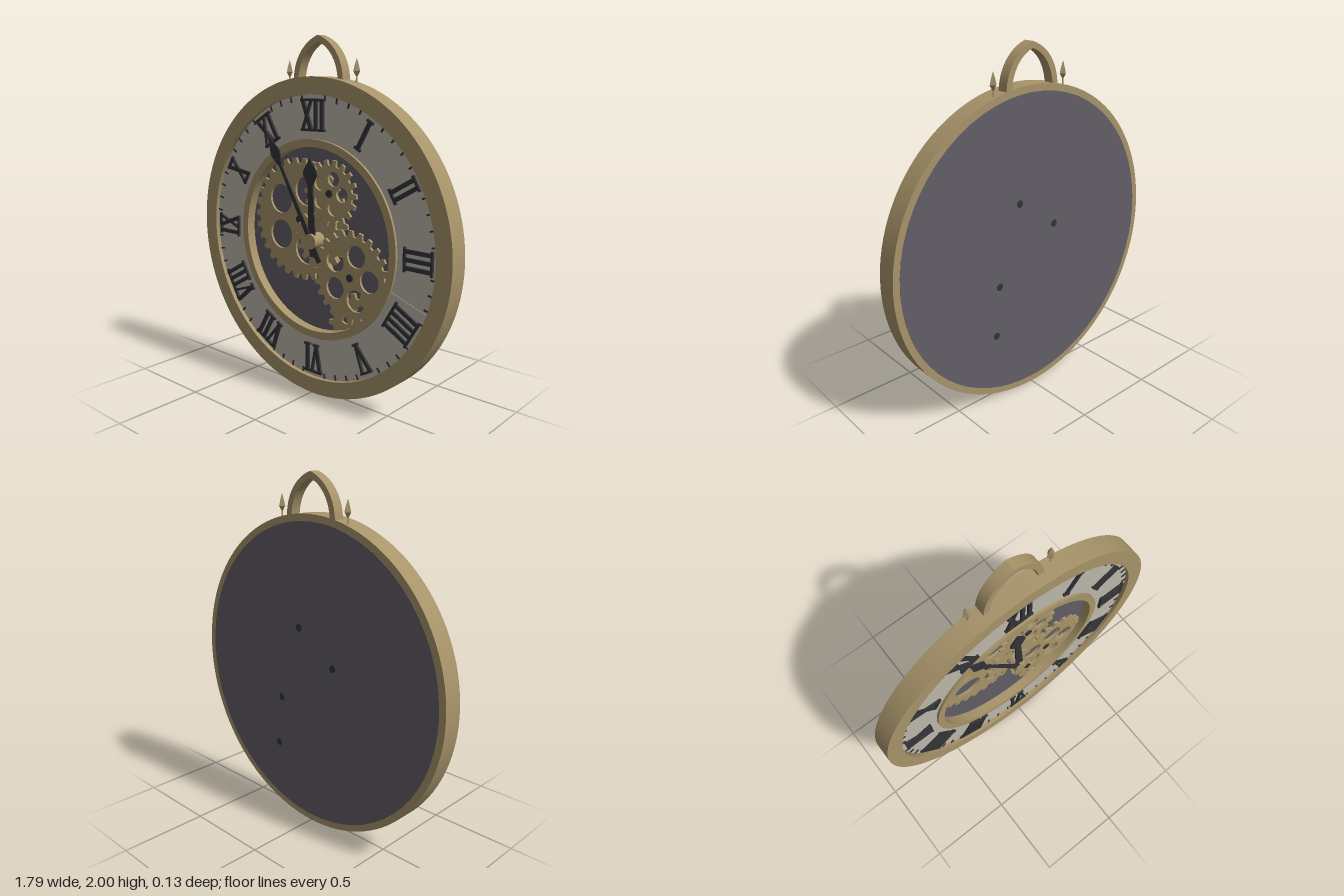
import * as THREE from 'three';
import { mergeGeometries, toCreasedNormals } from 'three/addons/utils/BufferGeometryUtils.js';

const material = (color) => new THREE.MeshStandardMaterial({ color });
const gold = material(0xa8946a);
const ivory = material(0xbdb9ac);
const slate = material(0x625e66);
const dark = material(0x343438);

const polar = (r, a) => new THREE.Vector2(r * Math.cos(a), r * Math.sin(a));
const rad = THREE.MathUtils.degToRad;

function add(parent, name, geometry, mat, x = 0, y = 0, z = 0) {
  const mesh = new THREE.Mesh(geometry, mat);
  mesh.name = name;
  mesh.position.set(x, y, z);
  parent.add(mesh);
  return mesh;
}

// Flat outline extruded from z0 to z1
function slab(shape, z0, z1, curveSegments = 12) {
  const g = new THREE.ExtrudeGeometry(shape, { depth: z1 - z0, bevelEnabled: false, curveSegments });
  g.translate(0, 0, z0);
  return toCreasedNormals(g, 0.5);
}

function circleHole(x, y, r) {
  return new THREE.Path().absarc(x, y, r, 0, Math.PI * 2, true);
}

function ring(outer, inner, z0, z1) {
  const shape = new THREE.Shape().absarc(0, 0, outer, 0, Math.PI * 2, false);
  shape.holes.push(circleHole(0, 0, inner));
  return slab(shape, z0, z1, 64);
}

// Cylinder along z
function disc(r, z0, z1, sides = 16) {
  return new THREE.CylinderGeometry(r, r, z1 - z0, sides).rotateX(Math.PI / 2).translate(0, 0, (z0 + z1) / 2);
}

// Toothed wheel with five round openings
function gear(radius, teeth, holeOrbit, holeRadius, z0, z1) {
  const root = radius - 0.032;
  const pitch = (Math.PI * 2) / teeth;
  const points = [];
  for (let i = 0; i < teeth; i++) {
    for (const [r, t] of [[root, -0.32], [radius, -0.18], [radius, 0.18], [root, 0.32]]) {
      points.push(polar(r, (i + t) * pitch));
    }
  }
  const shape = new THREE.Shape(points);
  for (let i = 0; i < 5 && holeRadius; i++) {
    const p = polar(holeOrbit, (i * Math.PI * 2) / 5);
    shape.holes.push(circleHole(p.x, p.y, holeRadius));
  }
  return slab(shape, z0, z1, 10);
}

// Straight pen stroke between two points
function stroke(x1, y1, x2, y2, width) {
  return new THREE.BoxGeometry(Math.hypot(x2 - x1, y2 - y1), width, 0.016)
    .rotateZ(Math.atan2(y2 - y1, x2 - x1))
    .translate((x1 + x2) / 2, (y1 + y2) / 2, 0);
}

// Roman numeral made of strokes with serifs
function numeral(text) {
  const h = 0.08;
  const advance = { I: 0.043, V: 0.085, X: 0.085 };
  const total = [...text].reduce((sum, c) => sum + advance[c], 0);
  const parts = [];
  let x = -total / 2;
  for (const c of text) {
    const w = advance[c], m = x + w / 2, d = w * 0.36;
    parts.push(stroke(x, h, x + w, h, 0.013));
    if (c === 'V') {
      parts.push(stroke(m - d, h, m, -h, 0.022), stroke(m + d, h, m, -h, 0.014));
      parts.push(stroke(m - 0.022, -h, m + 0.022, -h, 0.013));
    } else {
      parts.push(stroke(x, -h, x + w, -h, 0.013));
      if (c === 'I') parts.push(stroke(m, h, m, -h, 0.021));
      else parts.push(stroke(m - d, h, m + d, -h, 0.022), stroke(m + d, h, m - d, -h, 0.014));
    }
    x += w;
  }
  return mergeGeometries(parts);
}

// Symmetric hand outline from [halfWidth, y] pairs
function hand(profile, z0, z1) {
  const right = profile.map(([x, y]) => new THREE.Vector2(x, y));
  const left = profile.filter(([x]) => x > 0).map(([x, y]) => new THREE.Vector2(-x, y)).reverse();
  return slab(new THREE.Shape([...right, ...left]), z0, z1);
}

export function createModel() {
  const model = new THREE.Group();
  model.name = 'pocketClock';
  const clock = new THREE.Group();
  clock.name = 'clock';
  clock.position.y = 0.893;
  model.add(clock);

  // Case
  add(clock, 'outerRim', ring(0.893, 0.8, -0.06, 0.055), gold);
  add(clock, 'backPlate', disc(0.855, -0.0615, -0.05, 64), slate);
  add(clock, 'dial', ring(0.802, 0.55, 0.018, 0.03), ivory);
  add(clock, 'innerRing', ring(0.562, 0.52, -0.01, 0.045), gold);

  // Broken section of the dial, slightly raised
  const shard = new THREE.Shape([
    polar(0.56, rad(-19.5)), new THREE.Vector2(0.43, -0.37), new THREE.Vector2(0.46, -0.43),
    new THREE.Vector2(0.5, -0.44), new THREE.Vector2(0.52, -0.5), new THREE.Vector2(0.6, -0.52),
    ...[-36, -32, -28, -24, -19.5].map((a) => polar(0.797, rad(a))),
  ]);
  add(clock, 'dialShard', slab(shard, 0.03, 0.0325), ivory);

  // Numerals and minute ticks
  ['XII', 'I', 'II', 'III', 'IIII', 'V', 'VI', 'VII', 'VIII', 'IX', 'X', 'XI'].forEach((text, i) => {
    const a = Math.PI / 2 - (i * Math.PI) / 6;
    const p = polar(0.69, a);
    add(clock, 'numeral', numeral(text), dark, p.x, p.y, 0.036).rotation.z = a - Math.PI / 2;
  });
  for (let i = 0; i < 60; i++) {
    if (i % 5 === 0) continue;
    const a = (i * Math.PI) / 30, p = polar(0.782, a);
    add(clock, 'minuteTick', new THREE.BoxGeometry(0.03, 0.009, 0.008), dark, p.x, p.y, 0.032).rotation.z = a;
  }

  // Gear train: x, y, radius, teeth, hole orbit, hole radius, back z
  const gears = [
    ['largeGear', -0.165, 0.09, 0.355, 30, 0.18, 0.086, -0.045],
    ['lowerGear', 0.265, -0.473, 0.205, 18, 0.1, 0.045, -0.045],
    ['centreGear', 0, 0, 0.175, 16, 0, 0, -0.028],
    ['smallGear', 0.09, 0.27, 0.185, 18, 0.086, 0.04, -0.011],
    ['middleGear', 0.237, -0.176, 0.262, 24, 0.13, 0.062, -0.011],
  ];
  for (const [name, x, y, r, teeth, orbit, hole, z] of gears) {
    add(clock, name, gear(r, teeth, orbit, hole, z, z + 0.015), gold, x, y);
    if (hole) add(clock, 'axle', disc(0.022, -0.063, z + 0.022, 10), dark, x, y);
  }

  // Hands and hub
  const hour = add(clock, 'hourHand', hand([
    [0.018, -0.09], [0.024, 0.05], [0.017, 0.31], [0.05, 0.37], [0.044, 0.395], [0, 0.458],
  ], 0.042, 0.05), dark);
  hour.rotation.z = rad(2);
  const minute = add(clock, 'minuteHand', hand([
    [0.016, -0.125], [0.016, 0], [0.009, 0.46], [0.036, 0.535], [0.034, 0.555], [0.012, 0.61], [0, 0.672],
  ], 0.052, 0.06), dark);
  minute.rotation.z = rad(29.5);
  add(clock, 'hub', disc(0.043, -0.05, 0.067, 20), gold);

  // Pointed hanging loop
  const arch = new THREE.Shape();
  arch.moveTo(0.175, 1.755);
  arch.bezierCurveTo(0.175, 1.87, 0.11, 1.965, 0, 2);
  arch.bezierCurveTo(-0.11, 1.965, -0.175, 1.87, -0.175, 1.755);
  arch.lineTo(-0.14, 1.755);
  arch.bezierCurveTo(-0.14, 1.85, -0.085, 1.94, 0, 1.965);
  arch.bezierCurveTo(0.085, 1.94, 0.14, 1.85, 0.14, 1.755);
  add(model, 'hangingLoop', slab(arch, -0.06, 0), gold);

  // Spear finials beside the loop
  const spear = [[0.006, 1.74], [0.006, 1.785], [0.022, 1.81], [0.014, 1.84], [0, 1.878]]
    .map(([x, y]) => new THREE.Vector2(x, y));
  for (const side of [-1, 1]) {
    const geometry = toCreasedNormals(new THREE.LatheGeometry(spear, 4), 0.1);
    add(model, 'finial', geometry, gold, side * 0.238, 0, -0.035);
  }
  return model;
}
